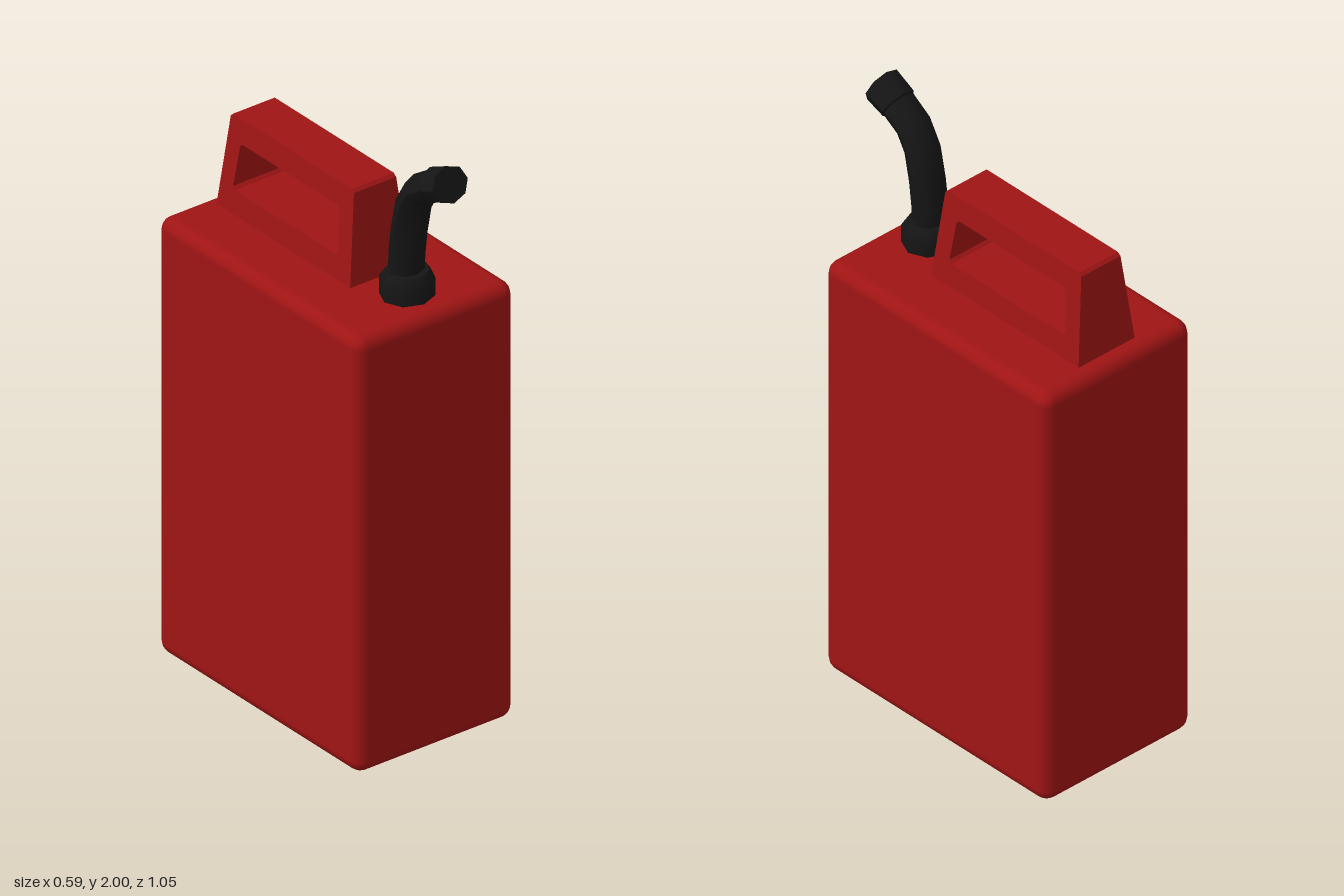
import * as THREE from 'three';
import { toCreasedNormals } from 'three/addons/utils/BufferGeometryUtils.js';
import { RoundedBoxGeometry } from 'three/addons/geometries/RoundedBoxGeometry.js';

const red = new THREE.MeshStandardMaterial({ color: 0xa01414 });
const black = new THREE.MeshStandardMaterial({ color: 0x151515 });

function part(name, geometry, material) {
  const mesh = new THREE.Mesh(geometry, material);
  mesh.name = name;
  return mesh;
}

// Skins eight-sided rings [y, z, radius, tilt towards the front in degrees].
function ringSkin(rings, depthScale, sides = 8) {
  const positions = [], index = [];
  rings.forEach(([y, z, r, tilt], i) => {
    const a = THREE.MathUtils.degToRad(tilt);
    for (let j = 0; j < sides; j++) {
      const t = (j / sides) * Math.PI * 2;
      const v = r * depthScale * Math.sin(t);
      positions.push(r * Math.cos(t), y - v * Math.sin(a), z + v * Math.cos(a));
      if (i === 0) continue;
      const k = (j + 1) % sides, p = (i - 1) * sides, q = i * sides;
      index.push(p + j, q + j, p + k, p + k, q + j, q + k);
    }
  });
  const geometry = new THREE.BufferGeometry();
  geometry.setAttribute('position', new THREE.Float32BufferAttribute(positions, 3));
  geometry.setIndex(index);
  return toCreasedNormals(geometry, 0.85);
}

// Handle side outline with a grip opening, extruded across x and tapered upwards.
function handleGeometry() {
  const points = (list) => list.map(([z, y]) => new THREE.Vector2(z, y));
  const shape = new THREE.Shape(points([
    [-0.47, 1.47], [0.172, 1.47], [0.146, 1.78], [0.136, 1.79], [-0.434, 1.79], [-0.444, 1.78],
  ]));
  shape.holes.push(new THREE.Path(points([
    [-0.392, 1.558], [-0.402, 1.568], [-0.388, 1.702], [-0.378, 1.712],
    [0.078, 1.712], [0.088, 1.702], [0.102, 1.568], [0.092, 1.558],
  ])));
  const geometry = new THREE.ExtrudeGeometry(shape, { depth: 2, bevelEnabled: false });
  geometry.translate(0, 0, -1).rotateY(-Math.PI / 2);
  const pos = geometry.attributes.position;
  for (let i = 0; i < pos.count; i++) {
    const halfWidth = THREE.MathUtils.mapLinear(pos.getY(i), 1.48, 1.79, 0.113, 0.078);
    pos.setX(i, pos.getX(i) * halfWidth);
  }
  return toCreasedNormals(geometry, 0.5);
}

export function createModel() {
  const model = new THREE.Group();
  model.name = 'fuelCan';

  // Tank
  const tank = new RoundedBoxGeometry(0.594, 1.48, 0.968, 2, 0.042);
  tank.translate(0, 0.74, -0.041);
  model.add(part('tank', tank, red));

  // Handle
  model.add(part('handle', handleGeometry(), red));

  // Spout: collar, bent neck and wider tip
  const spout = new THREE.Group();
  spout.name = 'spout';
  spout.add(part('collar', ringSkin([
    [1.46, 0.3, 0.086, 0], [1.54, 0.3, 0.086, 0], [1.565, 0.3, 0.068, 0], [1.565, 0.3, 0, 0],
  ], 0.95), black));
  spout.add(part('neck', ringSkin([
    [1.54, 0.295, 0.058, 4], [1.62, 0.299, 0.058, 6], [1.7, 0.309, 0.058, 9],
    [1.8, 0.33, 0.058, 20], [1.866, 0.369, 0.058, 42], [1.915, 0.445, 0.058, 62],
  ], 0.88), black));
  spout.add(part('tip', ringSkin([
    [1.909, 0.432, 0.056, 62], [1.911, 0.436, 0.063, 62],
    [1.942, 0.506, 0.066, 71], [1.942, 0.506, 0, 71],
  ], 0.88), black));
  model.add(spout);

  return model;
}
